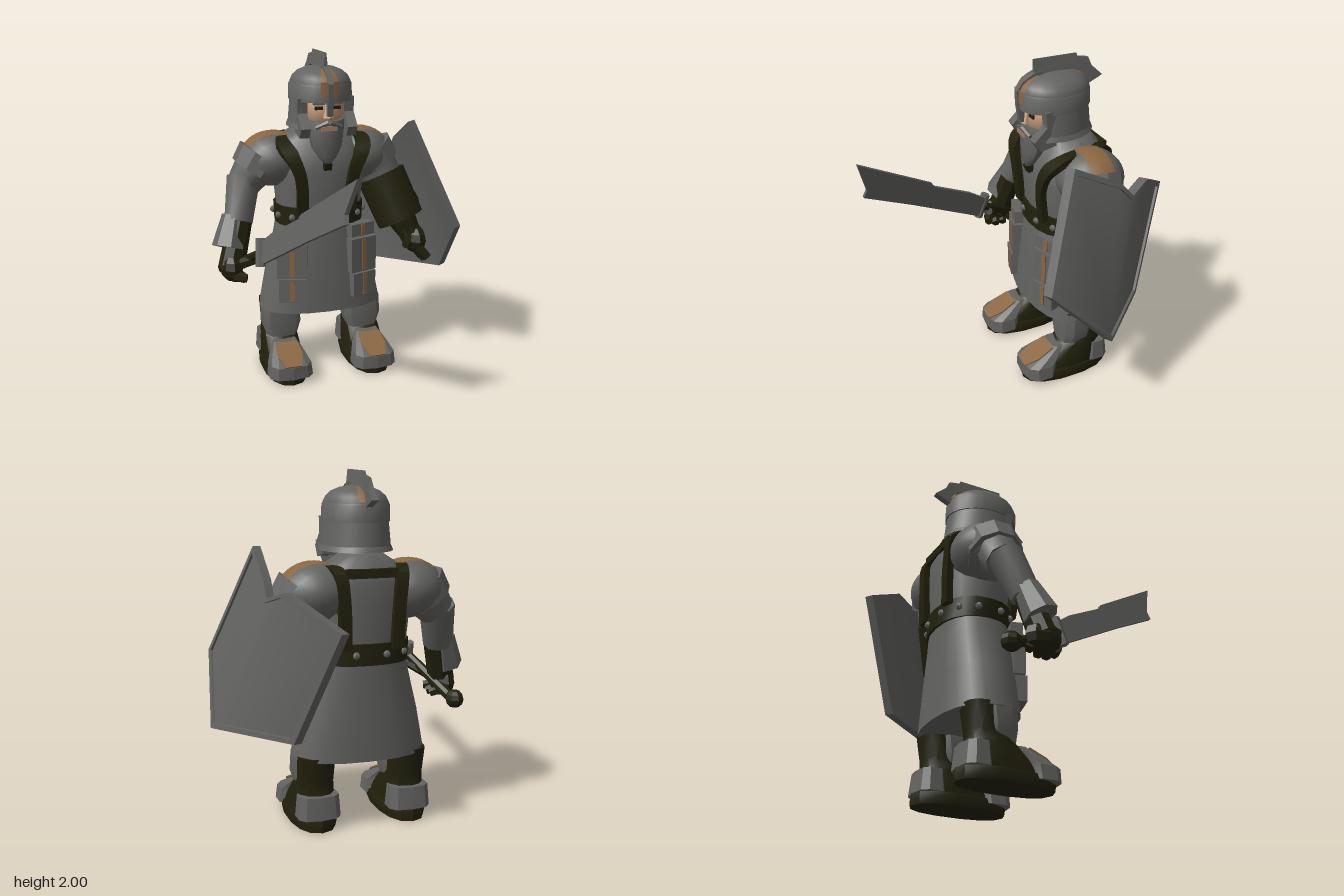
import * as THREE from 'three';
import { toCreasedNormals } from 'three/addons/utils/BufferGeometryUtils.js';

const V = (x, y, z) => new THREE.Vector3(x, y, z);
const CX = -0.083; // body centre line

export function createModel() {
  const root = new THREE.Group();
  const mat = (name, color, side = THREE.FrontSide) => {
    const m = new THREE.MeshStandardMaterial({ color, side });
    m.name = name;
    return m;
  };
  const steel = mat('steel', 0x636361, THREE.DoubleSide);
  const leather = mat('dark leather', 0x22210c, THREE.DoubleSide);
  const bronze = mat('bronze', 0x8a6641, THREE.DoubleSide);
  const skin = mat('skin', 0xbd9472);
  const hair = mat('beard grey', 0x626261);
  const lip = mat('lips', 0xa87e64);

  const add = (name, geo, material, crease = 0.6) => {
    const mesh = new THREE.Mesh(toCreasedNormals(geo, crease), material);
    mesh.name = name;
    root.add(mesh);
    return mesh;
  };

  // Skin a list of equal-length closed rings, with fan caps
  const sweep = (rings) => {
    const n = rings[0].length, idx = [], last = (rings.length - 1) * n;
    for (let r = 0; r < rings.length - 1; r++) {
      for (let i = 0; i < n; i++) {
        const a = r * n + i, b = r * n + (i + 1) % n;
        idx.push(a, b, b + n, a, b + n, a + n);
      }
    }
    for (let i = 1; i < n - 1; i++) idx.push(0, i + 1, i, last, last + i, last + i + 1);
    const g = new THREE.BufferGeometry().setFromPoints(rings.flat());
    g.setIndex(idx);
    return g;
  };
  // Horizontal rounded rings: [y, z, rx, rz], from the bottom up
  const loft = (x, rows, n = 16, p = 0.85) => sweep(rows.map(([y, z, rx, rz]) =>
    Array.from({ length: n }, (_, i) => {
      const a = (i / n) * Math.PI * 2, s = Math.sin(a), c = Math.cos(a);
      return V(x + rx * Math.sign(s) * Math.abs(s) ** p, y, z + rz * Math.sign(c) * Math.abs(c) ** p);
    })));
  const limb = (a, b, ra, rb, n = 9) => {
    const d = V(...b).sub(V(...a));
    const g = new THREE.CylinderGeometry(rb, ra, d.length(), n);
    g.applyQuaternion(new THREE.Quaternion().setFromUnitVectors(V(0, 1, 0), d.clone().normalize()));
    return g.translate(a[0] + d.x / 2, a[1] + d.y / 2, a[2] + d.z / 2);
  };
  const ball = (c, r, w = 14, h = 9) => new THREE.SphereGeometry(1, w, h).scale(...r).translate(...c);
  const box = (s, c) => new THREE.BoxGeometry(...s).translate(...c);
  const extrude = (pts, depth) => new THREE.ExtrudeGeometry(
    new THREE.Shape(pts.map(p => new THREE.Vector2(...p))), { depth, bevelEnabled: false });
  // Upright plate outlined in (z, y)
  const plate = (pts, x, t) => extrude(pts, t).rotateY(-Math.PI / 2).translate(x + t / 2, 0, 0);
  // Move x of every vertex by a rule
  const bendX = (g, rule) => {
    const p = g.attributes.position;
    for (let i = 0; i < p.count; i++) p.setX(i, rule(p.getX(i), p.getY(i), p.getZ(i)));
    return g;
  };

  // Torso, skirt and belt
  add('torso', loft(CX, [[0.93, -0.34, 0.26, 0.19], [1.08, -0.34, 0.27, 0.2], [1.28, -0.34, 0.29, 0.21],
    [1.4, -0.35, 0.28, 0.2], [1.47, -0.37, 0.24, 0.17], [1.55, -0.36, 0.12, 0.12]]), steel, 0.9);
  add('backStrap', box([0.3, 0.05, 0.04], [CX, 1.455, -0.535]), leather);
  add('skirt', loft(CX, [[0.4, -0.325, 0.395, 0.225], [0.65, -0.33, 0.345, 0.215], [0.88, -0.335, 0.285, 0.205],
    [0.96, -0.34, 0.27, 0.2]], 20), steel, 0.9);
  add('belt', loft(CX, [[0.95, -0.34, 0.275, 0.215], [1.07, -0.34, 0.28, 0.215]], 20), leather);
  for (let i = 0; i < 12; i++) {
    const a = (i + 0.5) / 12 * Math.PI * 2, s = Math.sin(a), c = Math.cos(a);
    add('beltStud', ball([CX + 0.28 * Math.sign(s) * Math.abs(s) ** 0.85, 1.01,
      -0.34 + 0.215 * Math.sign(c) * Math.abs(c) ** 0.85], [0.021, 0.021, 0.021], 6, 5), steel);
  }

  for (const s of [-1, 1]) {
    const X = o => CX + s * o;
    const side = s < 0 ? 'right' : 'left';

    // Shoulder strap, a flat ribbon widening over the chest and passing under the pauldron
    const curve = new THREE.CatmullRomCurve3([V(X(0.15), 1.04, -0.145), V(X(0.165), 1.27, -0.12),
      V(X(0.22), 1.4, -0.135), V(X(0.25), 1.465, -0.22), V(X(0.22), 1.475, -0.38), V(X(0.18), 1.455, -0.53),
      V(X(0.16), 1.3, -0.55), V(X(0.15), 1.04, -0.545)]);
    add(side + 'Strap', sweep(curve.getPoints(22).map((p, i) => {
      const t = curve.getTangent(i / 22);
      const n = V(1, 0, 0).cross(t).normalize().multiplyScalar(0.02);
      const w = V(0.034 + 0.016 * Math.max(0, 1 - Math.abs(i - 7) / 4), 0, 0);
      return [p.clone().add(n).sub(w), p.clone().add(n).add(w), p.clone().sub(n).add(w), p.clone().sub(n).sub(w)];
    })), leather);

    // Pauldron with a bronze band over its crown
    const dome = (k, w, h, ...range) => new THREE.SphereGeometry(1, w, h, ...range).rotateX(Math.PI / 2)
      .scale(0.205 * k, 0.17 * k, 0.2 * k).translate(X(0.275), 1.345, -0.375);
    add(side + 'Pauldron', dome(1, 20, 12), steel, 0.5);
    add(side + 'PauldronBand', dome(1.01, 12, 4, Math.PI * (s > 0 ? 1.04 : 1.32), Math.PI * 0.64,
      Math.PI / 2 - 0.36, 0.72), bronze);

    // Tasset of stacked plates with a bronze strip
    const tasset = new THREE.Group();
    tasset.name = side + 'Tasset';
    for (const [y, h, w, z] of [[0.91, 0.08, 0.17, 0], [0.75, 0.22, 0.185, 0.012], [0.56, 0.15, 0.165, 0.022]]) {
      tasset.add(add('tassetPlate', box([w, h, 0.07], [0, y, z]), steel));
      tasset.add(add('tassetStrip', box([0.03, h * 0.9, 0.008], [0, y, z + 0.037]), bronze));
    }
    tasset.position.set(X(0.218), 0, -0.158);
    tasset.rotation.y = s * 0.3;
    root.add(tasset);

    // Boot: sole, upper, toe cap, heel plate, greave
    const f = X(0.273);
    add(side + 'Sole', loft(f, [[0, -0.24, 0.13, 0.285], [0.035, -0.24, 0.138, 0.29], [0.07, -0.25, 0.13, 0.275]], 14), leather);
    add(side + 'Boot', loft(f, [[0.06, -0.25, 0.122, 0.265], [0.14, -0.29, 0.12, 0.21], [0.22, -0.33, 0.115, 0.14],
      [0.27, -0.37, 0.105, 0.1], [0.42, -0.4, 0.11, 0.095]], 12), leather);
    add(side + 'ToeCap', loft(f, [[0.04, -0.05, 0.14, 0.105], [0.12, -0.055, 0.13, 0.11],
      [0.17, -0.12, 0.105, 0.075], [0.215, -0.18, 0.075, 0.04]], 10, 0.7), steel, 0.3);
    add(side + 'ToeTrim', extrude([[-0.05, -0.105], [0.05, -0.105], [0.078, -0.01], [0.066, 0.1], [-0.066, 0.1], [-0.078, -0.01]], 0.009)
      .rotateX(-Math.PI / 2 + 0.45).translate(f, 0.168, -0.045), bronze);
    add(side + 'HeelPlate', loft(f, [[0.07, -0.43, 0.128, 0.09], [0.2, -0.43, 0.118, 0.075]], 10, 0.7), steel);
    add(side + 'Greave', loft(f - s * 0.005, [[0.22, -0.3, 0.1, 0.1], [0.3, -0.3, 0.125, 0.105],
      [0.42, -0.31, 0.12, 0.11]], 10, 0.7), steel, 0.4);

    // Face and helmet side pieces
    add(side + 'Eye', box([0.05, 0.02, 0.01], [X(0.055), 1.684, -0.108]), leather);
    add(side + 'Brow', box([0.07, 0.014, 0.02], [X(0.055), 1.71, -0.105]), hair);
    add(side + 'CheekGuard', plate([[-0.14, 1.74], [-0.22, 1.74], [-0.21, 1.53], [-0.11, 1.51], [-0.07, 1.57], [-0.15, 1.65]],
      X(0.143), 0.06), steel);
    add(side + 'Moustache', limb([X(0.005), 1.6, -0.075], [X(0.08), 1.57, -0.09], 0.018, 0.012, 6), hair);
  }

  // Head and beard
  add('neck', loft(CX, [[1.48, -0.33, 0.11, 0.11], [1.62, -0.32, 0.11, 0.11]], 12), skin);
  add('head', ball([CX, 1.65, -0.25], [0.13, 0.14, 0.148]), skin, 1);
  add('nose', limb([CX, 1.625, -0.1], [CX, 1.7, -0.11], 0.036, 0.014, 6), skin);
  add('mouth', box([0.095, 0.026, 0.02], [CX, 1.565, -0.077]), lip);
  add('beard', loft(CX, [[1.335, -0.115, 0.01, 0.01], [1.38, -0.125, 0.052, 0.04], [1.45, -0.14, 0.095, 0.06],
    [1.55, -0.16, 0.112, 0.085], [1.605, -0.18, 0.118, 0.09]], 10, 1), hair, 0.7);
  add('beardClasp', plate([[-0.09, 1.35], [-0.14, 1.36], [-0.14, 1.31], [-0.11, 1.305]], CX, 0.045), leather);

  // Helmet: turned shell, bronze stripes set just outside it
  const shell = (profile, k, seg, ...range) => new THREE.LatheGeometry(profile.map(p => new THREE.Vector2(...p)), seg, ...range)
    .scale(0.18 * k, 1, 0.215 * k).translate(CX, 1.74 + (k - 1) * 0.2, -0.27);
  const dome = [[1, -0.02], [1, 0.085], [0.92, 0.115], [0.76, 0.143], [0.5, 0.163], [0.25, 0.171], [0, 0.174]];
  add('helmetDome', shell(dome, 1, 24), steel, 0.7);
  add('helmetFrontStripe', shell(dome.slice(1, 5), 1.025, 4, -0.3, 0.6), bronze);
  add('helmetBackStripe', shell(dome.slice(1, 6), 1.025, 4, Math.PI - 0.32, 0.64), bronze);
  add('browBand', loft(CX, [[1.72, -0.27, 0.19, 0.222], [1.81, -0.27, 0.187, 0.22], [1.83, -0.27, 0.175, 0.21]], 24, 1), steel);
  add('browTrim', shell([[1, 0.012], [1, 0.09]], 1.055, 6, -0.3, 0.6), bronze);
  add('neckGuard', new THREE.CylinderGeometry(0.18, 0.195, 0.16, 20, 1, true, 0.95, Math.PI * 2 - 1.9)
    .scale(1, 1, 1.17).translate(CX, 1.66, -0.27), steel, 0.8);
  add('neckGuardRim', new THREE.CylinderGeometry(0.195, 0.207, 0.03, 20, 1, true, 0.8, Math.PI * 2 - 1.6)
    .scale(1, 1, 1.17).translate(CX, 1.575, -0.27), steel, 0.8);
  add('noseGuard', plate([[-0.2, 1.93], [-0.2, 1.88], [-0.07, 1.8], [-0.085, 1.76], [-0.08, 1.64], [-0.055, 1.64],
    [-0.04, 1.74], [-0.035, 1.83], [-0.07, 1.88], [-0.14, 1.92]], CX, 0.034), steel);
  add('crest', bendX(plate([[-0.14, 2], [-0.15, 1.86], [-0.4, 1.86], [-0.48, 1.8], [-0.55, 1.83], [-0.58, 1.845],
    [-0.51, 1.91], [-0.49, 1.96], [-0.42, 1.975], [-0.415, 1.995]], 0, 0.04),
    (x, y) => CX + x * Math.min(1, (2.015 - y) / 0.13)), steel);

  // Arms
  add('rightUpperArm', limb([-0.42, 1.36, -0.37], [-0.55, 1.2, -0.36], 0.15, 0.105), steel, 0.9);
  add('rightLame', limb([-0.41, 1.36, -0.37], [-0.475, 1.265, -0.37], 0.175, 0.16, 10), steel);
  add('rightForearm', limb([-0.55, 1.24, -0.36], [-0.61, 0.99, -0.26], 0.105, 0.088), steel, 0.9);
  add('rightCuff', limb([-0.635, 1.03, -0.27], [-0.685, 0.85, -0.21], 0.07, 0.1, 7), steel);
  add('leftUpperArm', limb([0.25, 1.36, -0.37], [0.37, 1.12, -0.31], 0.15, 0.12), steel, 0.9);
  add('leftLame', limb([0.245, 1.36, -0.37], [0.31, 1.265, -0.36], 0.175, 0.16, 10), steel);
  add('leftSleeve', limb([0.325, 1.205, -0.31], [0.43, 0.925, -0.22], 0.155, 0.15, 12), leather);
  add('leftWrist', limb([0.42, 0.97, -0.23], [0.49, 0.83, -0.19], 0.1, 0.07), leather);

  // Gloves: palm, four fingers, thumb
  const glove = (side, w, p, tip, thumb) => {
    add(side + 'Glove', limb(w, p, 0.072, 0.08, 8), leather);
    add(side + 'Palm', ball(p, [0.072, 0.09, 0.11], 8, 6), leather, 0.4);
    for (let i = 0; i < 4; i++) {
      const dz = (i - 1.5) * 0.05;
      const k = [p[0], p[1] - 0.04, p[2] + dz];
      add(side + 'Finger', limb(k, [tip[0], tip[1] + Math.abs(dz) * 0.5, tip[2] + dz], 0.034, 0.026, 6), leather);
    }
    add(side + 'Thumb', limb(p, thumb, 0.038, 0.027, 6), leather);
  };
  glove('right', [-0.598, 1.0, -0.25], [-0.672, 0.735, -0.19], [-0.6, 0.65, -0.16], [-0.52, 0.82, -0.05]);
  glove('left', [0.46, 0.88, -0.2], [0.51, 0.8, -0.18], [0.565, 0.66, -0.15], [0.42, 0.79, -0.1]);

  // Sword, its blade leaning toward the middle as it runs forward
  add('swordBlade', bendX(plate([[-0.04, 0.83], [0.02, 0.8], [0.52, 1.09], [0.84, 1.265], [0.82, 1.31], [0.875, 1.505],
    [0.385, 1.2], [0.37, 1.17], [0.1, 1.02], [-0.02, 0.93]], 0, 0.025),
    (x, y, z) => x - 0.52 + 0.32 * z + 0.2 * (y - 0.87 - 0.6 * z)), steel);
  add('swordGrip', limb([-0.67, 0.655, -0.38], [-0.535, 0.86, -0.01], 0.032, 0.028, 8), leather);
  add('swordPommel', ball([-0.67, 0.67, -0.38], [0.055, 0.055, 0.06], 8, 6), leather, 0.3);
  add('swordGuard', limb([-0.525, 0.95, -0.03], [-0.54, 0.79, 0.02], 0.03, 0.03, 6), steel);

  // Shield folded along its middle, with a raised rim round a sunken face
  const edge = [V(0.49, 1.34, -0.49), V(0.485, 1.43, -0.41), V(0.47, 1.58, -0.12), V(0.69, 0.955, 0.12),
    V(0.755, 0.585, -0.24), V(0.385, 0.57, -0.63), V(0.2, 1.2, -0.87), V(0.43, 1.385, -0.615)];
  const mid = V(0.61, 1.0, -0.37);
  const ring = (k, dx) => edge.map(p => p.clone().lerp(mid, k).add(V(dx, dx * 0.1, -dx * 0.5)));
  const rings = [ring(0, -0.05), ring(0, 0), ring(0.07, 0), ring(0.075, -0.014)];
  const n = edge.length, idx = [];
  for (let r = 0; r < 3; r++) for (let i = 0; i < n; i++) {
    const a = r * n + i, b = r * n + (i + 1) % n;
    idx.push(a, a + n, b + n, a, b + n, b);
  }
  for (let i = 0; i < n; i++) { // faces fan out from the bottom point, keeping the fold
    const j = (i + 1) % n;
    if (i === 4 || j === 4) continue;
    idx.push(4, j, i, 28, 24 + i, 24 + j);
  }
  const shield = new THREE.BufferGeometry().setFromPoints(rings.flat());
  shield.setIndex(idx);
  add('shield', shield, steel, 0.75);
  add('shieldHandle', limb([0.44, 1.08, -0.25], [0.56, 1.02, -0.3], 0.05, 0.05, 8), leather);

  return root;
}
